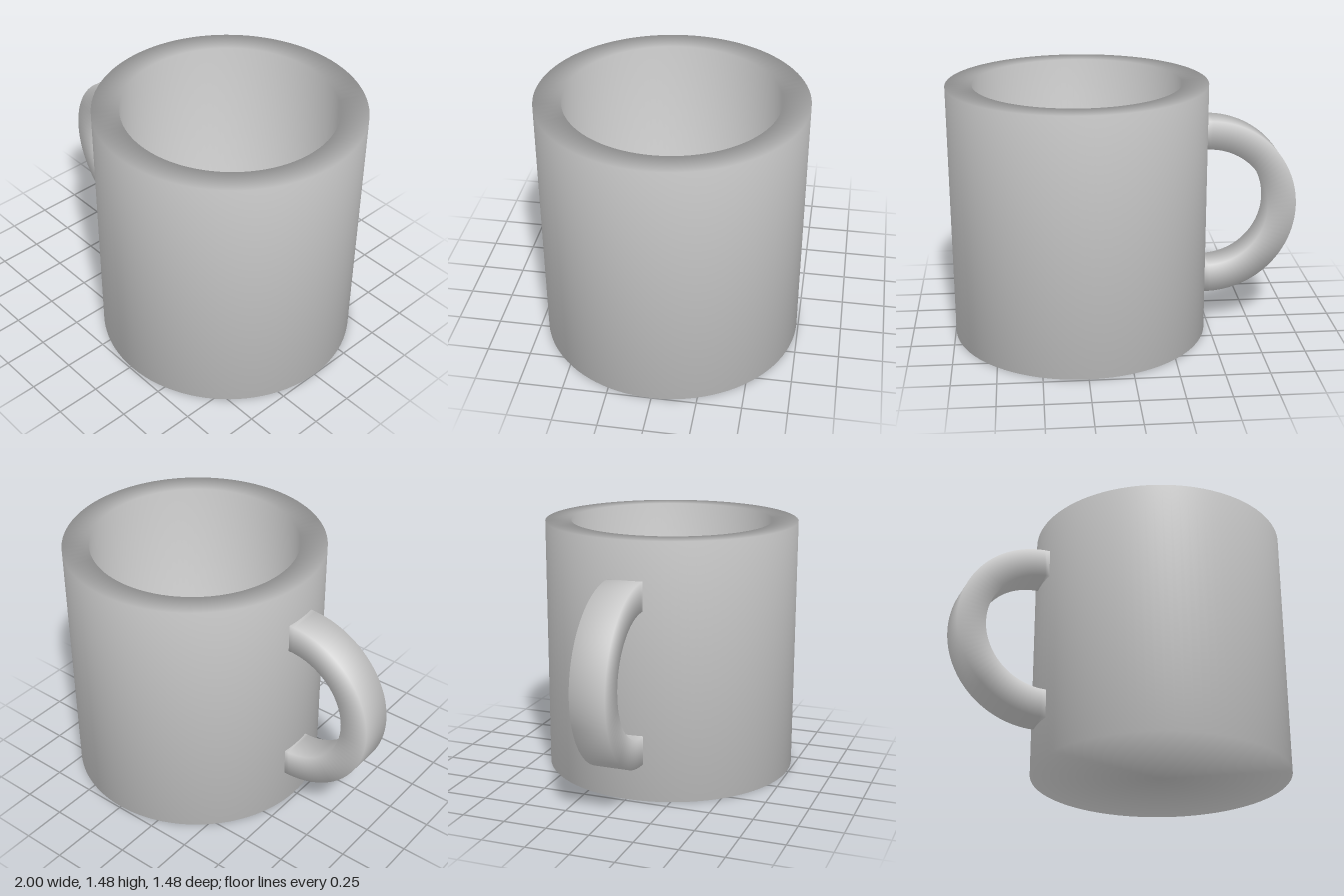
import * as THREE from 'three';
import { mergeVertices } from 'three/addons/utils/BufferGeometryUtils.js';

const HEIGHT = 1.48, RADIUS = 0.74, INNER_RADIUS = 0.59, FLOOR = 0.15;
const CENTRE_X = 0.26;

// Turned profile with normals shared across every edge, for a soft look.
function softLathe(points, segments, start, length) {
  const profile = points.map(([r, y]) => new THREE.Vector2(r, y));
  const geometry = new THREE.LatheGeometry(profile, segments, start, length);
  geometry.deleteAttribute('uv');
  geometry.deleteAttribute('normal');
  const merged = mergeVertices(geometry, 1e-4);
  merged.computeVertexNormals();
  return merged;
}

export function createModel() {
  const group = new THREE.Group();
  group.name = 'mug';
  const material = new THREE.MeshStandardMaterial({ color: 0xcccccc, side: THREE.DoubleSide });

  // Cup: outer wall, flat rim, inner wall and floor in one closed profile
  const cup = new THREE.Mesh(softLathe([
    [0, 0], [RADIUS, 0], [RADIUS, HEIGHT],
    [INNER_RADIUS, HEIGHT], [INNER_RADIUS, FLOOR], [0, FLOOR],
  ], 96, 0, Math.PI * 2), material);
  cup.name = 'cup';
  cup.position.x = CENTRE_X;
  group.add(cup);

  // Handle: half ring of rectangular section, its ends just entering the wall
  const outer = 0.52, inner = 0.355, halfWidth = 0.1, overlap = 0.02;
  const ring = softLathe([
    [inner, -halfWidth], [outer, -halfWidth], [outer, halfWidth],
    [inner, halfWidth], [inner, -halfWidth],
  ], 48, Math.PI - overlap, Math.PI + 2 * overlap);
  ring.rotateX(Math.PI / 2);
  const handle = new THREE.Mesh(ring, material);
  handle.name = 'handle';
  handle.position.set(CENTRE_X - RADIUS, HEIGHT / 2, 0);
  group.add(handle);

  return group;
}
